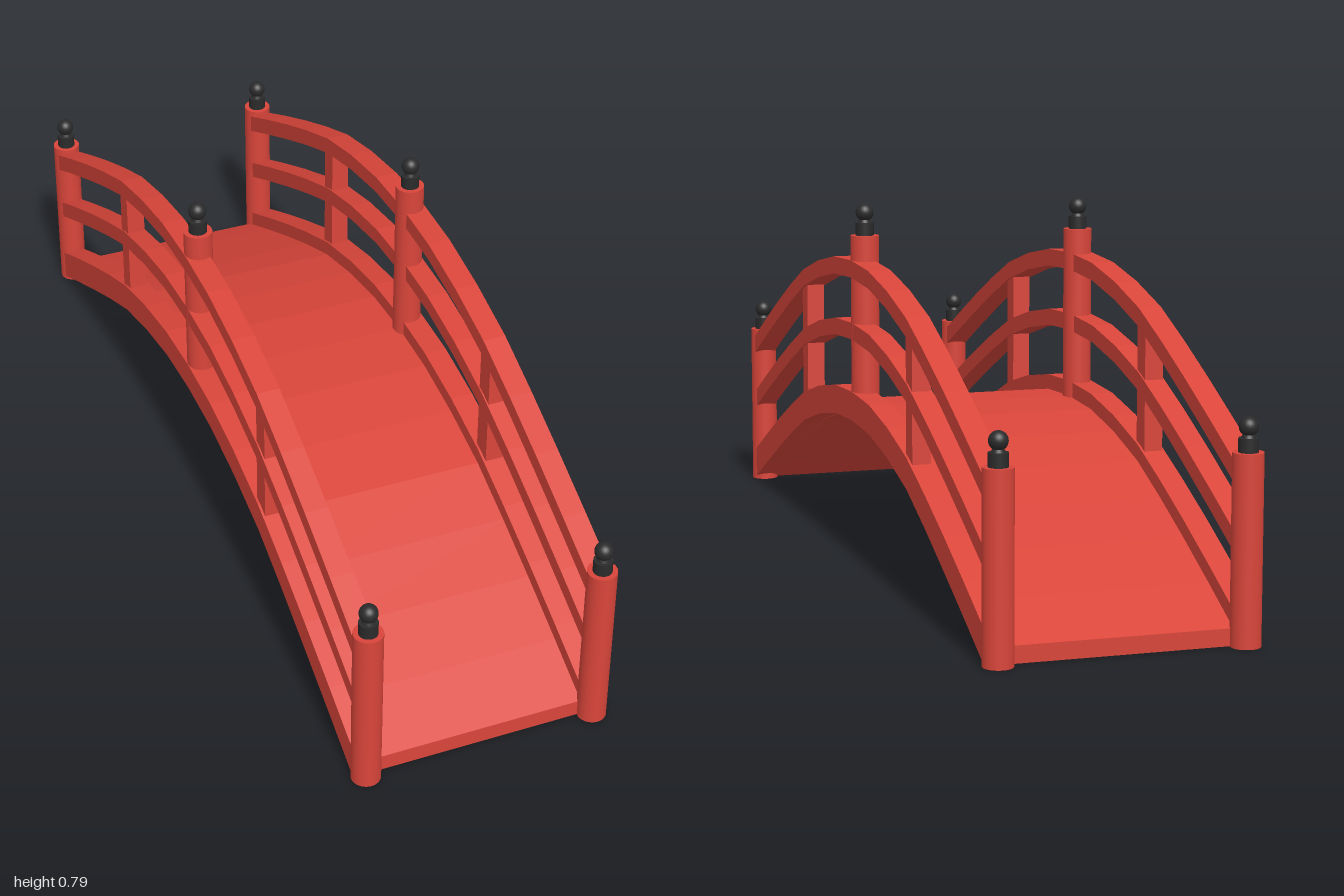
import * as THREE from 'three';

const red = new THREE.MeshStandardMaterial({ color: 0xd9453a });
const black = new THREE.MeshStandardMaterial({ color: 0x2b2b2b });

// Half of the deck's arch as [z, y], mirrored to the other end
const half = [[0, 0.34], [0.145, 0.333], [0.29, 0.308], [0.435, 0.27],
  [0.57, 0.216], [0.7, 0.159], [0.835, 0.097], [0.965, 0.035]];
const arch = [...half.slice(1).reverse().map(([z, y]) => [-z, y]), ...half];

function archHeight(z) {
  const a = Math.abs(z);
  const i = Math.max(1, half.findIndex(p => p[0] >= a));
  const [z0, y0] = half[i - 1], [z1, y1] = half[i];
  return y0 + (y1 - y0) * (a - z0) / (z1 - z0);
}

// Curved bar following the arch, between two offsets from the deck surface
function archBar(name, x, width, low, high) {
  const edge = offset => arch.map(([z, y]) => {
    const mid = (low + high) / 2;
    const slope = 0.48 * Math.min(1, Math.abs(z) / 0.7);
    return new THREE.Vector2(z, y + mid + (offset - mid) * Math.hypot(1, slope));
  });
  const shape = new THREE.Shape([...edge(low), ...edge(high).reverse()]);
  const geo = new THREE.ExtrudeGeometry(shape, { depth: width, bevelEnabled: false });
  geo.translate(0, 0, -width / 2).rotateY(-Math.PI / 2);
  const mesh = new THREE.Mesh(geo, red);
  mesh.name = name;
  mesh.position.x = x;
  return mesh;
}

// Round post with a black ball finial
function post(name, x, z, bottom, top) {
  const g = new THREE.Group();
  g.name = name;
  const h = top - bottom;
  const shaft = new THREE.Mesh(new THREE.CylinderGeometry(0.031, 0.031, h, 32), red);
  shaft.name = 'postShaft';
  shaft.position.y = bottom + h / 2;

  const collar = new THREE.Mesh(new THREE.CylinderGeometry(0.02, 0.02, 0.028, 24), black);
  collar.name = 'finialCollar';
  collar.position.y = top + 0.014;
  const neck = new THREE.Mesh(new THREE.CylinderGeometry(0.01, 0.015, 0.012, 24), black);
  neck.name = 'finialNeck';
  neck.position.y = top + 0.032;
  const ball = new THREE.Mesh(new THREE.SphereGeometry(0.0195, 24, 16), black);
  ball.name = 'finialBall';
  ball.position.y = top + 0.05;

  g.add(shaft, collar, neck, ball);
  g.position.set(x, 0, z);
  return g;
}

export function createModel() {
  const bridge = new THREE.Group();
  bridge.name = 'archedFootbridge';

  bridge.add(archBar('deck', 0, 0.458, -0.032, 0));

  for (const [side, s] of [['left', 1], ['right', -1]]) {
    const railing = new THREE.Group();
    railing.name = side + 'Railing';

    // Side beam and two handrails
    railing.add(
      archBar('sideBeam', s * 0.253, 0.05, -0.03, 0.034),
      archBar('middleRail', s * 0.253, 0.046, 0.149, 0.186),
      archBar('topRail', s * 0.253, 0.05, 0.286, 0.324));

    // Square uprights between beam and top rail
    for (const z of [-0.44, 0.44]) {
      const upright = new THREE.Mesh(new THREE.BoxGeometry(0.04, 0.3, 0.046), red);
      upright.name = 'upright';
      upright.position.set(s * 0.253, archHeight(z) + 0.155, z);
      railing.add(upright);
    }

    // Round posts
    railing.add(
      post('frontPost', s * 0.252, 0.969, 0, 0.383),
      post('middlePost', s * 0.246, 0, 0.325, 0.718),
      post('backPost', s * 0.252, -0.969, 0, 0.383));
    bridge.add(railing);
  }
  return bridge;
}
